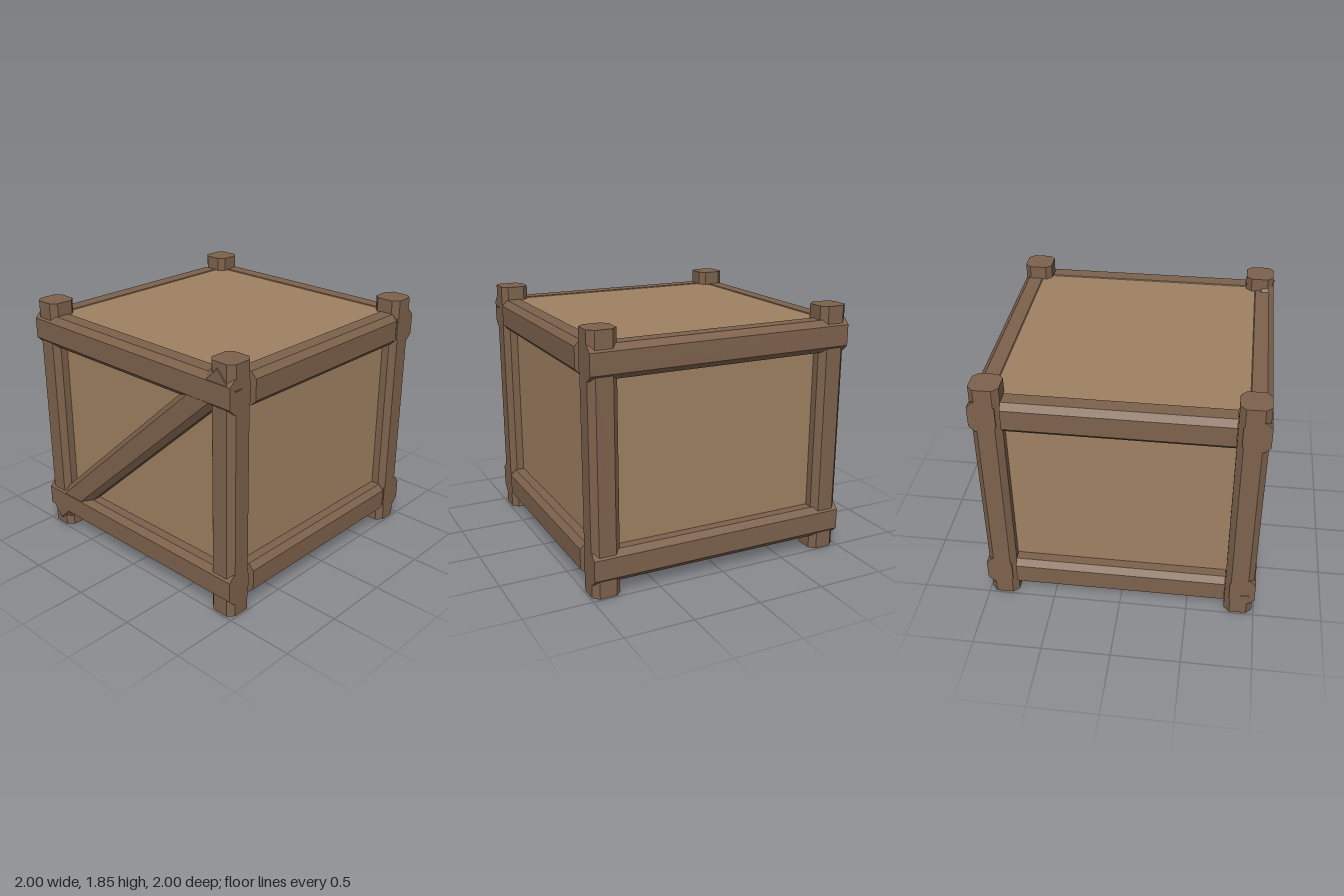
import * as THREE from 'three';

const timber = new THREE.MeshStandardMaterial({ color: 0x7d624c, flatShading: true });
const panel = new THREE.MeshStandardMaterial({ color: 0x9f8162, flatShading: true });
const CHAMFER = 0.042;

// Chamfered bar running along z, centred on the origin
function bar(name, width, height, length) {
  const a = width / 2, b = height / 2, c = CHAMFER;
  const section = new THREE.Shape([
    [a, -b + c], [a, b - c], [a - c, b], [-a + c, b],
    [-a, b - c], [-a, -b + c], [-a + c, -b], [a - c, -b],
  ].map(([x, y]) => new THREE.Vector2(x, y)));
  const geometry = new THREE.ExtrudeGeometry(section, { depth: length, bevelEnabled: false });
  geometry.translate(0, 0, -length / 2);
  const mesh = new THREE.Mesh(geometry, timber);
  mesh.name = name;
  return mesh;
}

export function createModel() {
  const crate = new THREE.Group();
  crate.name = 'crate';

  // Plain box behind the frame, its top and bottom just inside the rails
  const body = new THREE.Mesh(new THREE.BoxGeometry(1.776, 1.64, 1.776), panel);
  body.name = 'body';
  body.position.y = 0.926;
  crate.add(body);

  // Corner posts
  for (const x of [-1, 1]) for (const z of [-1, 1]) {
    const post = bar('cornerPost', 0.208, 0.208, 1.85);
    post.rotation.x = Math.PI / 2;
    post.position.set(x * 0.883, 0.925, z * 0.883);
    crate.add(post);
  }

  // Upper and lower rails on all four sides
  for (const [level, y] of [['lower', 0.217], ['upper', 1.635]]) for (const side of [-1, 1]) {
    const cross = bar(level + 'CrossRail', 0.188, 0.234, 1.974);
    cross.rotation.y = Math.PI / 2;
    cross.position.set(0, y, side * 0.906);
    const sideRail = bar(level + 'SideRail', 0.188, 0.234, 1.55);
    sideRail.position.set(side * 0.906, y, 0);
    crate.add(cross, sideRail);
  }

  // Diagonal brace on the front, set just behind the rail faces
  const brace = new THREE.Group();
  brace.name = 'diagonalBrace';
  const braceBar = bar('braceBar', 0.14, 0.214, 2.475);
  braceBar.rotation.y = Math.PI / 2;
  brace.add(braceBar);
  brace.rotation.z = Math.atan(0.9);
  brace.position.set(0, 0.927, 0.927);
  crate.add(brace);

  return crate;
}
